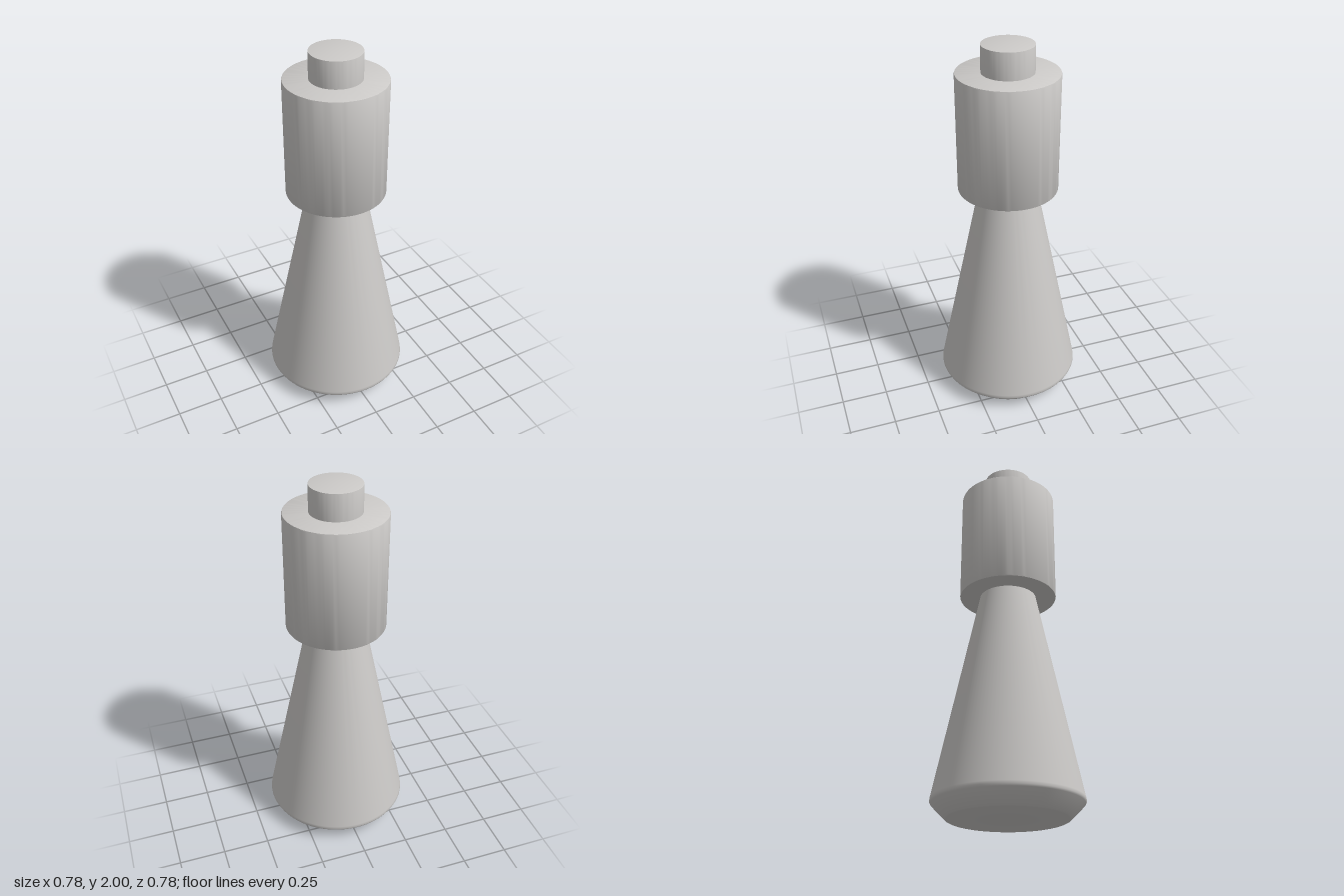
import * as THREE from 'three';
import { toCreasedNormals } from 'three/addons/utils/BufferGeometryUtils.js';

export function createModel() {
  const group = new THREE.Group();
  const paleGrey = new THREE.MeshStandardMaterial({ color: 0xcccac8 });
  paleGrey.name = 'paleGrey';

  // Turned part from a [radius, height] profile, listed bottom to top
  const turned = (name, profile) => {
    const points = profile.map(([r, y]) => new THREE.Vector2(r, y));
    const geometry = toCreasedNormals(new THREE.LatheGeometry(points, 96), 0.6);
    const mesh = new THREE.Mesh(geometry, paleGrey);
    mesh.name = name;
    group.add(mesh);
  };

  // Tapered body with a chamfered foot
  turned('taperedBody', [
    [0, 0], [0.304, 0], [0.314, 0.005], [0.384, 0.075], [0.389, 0.085],
    [0.387, 0.1], [0.153, 1.225],
  ]);

  // Wide collar with slightly softened rims
  turned('collar', [
    [0, 1.222], [0.259, 1.222], [0.263, 1.224], [0.265, 1.228],
    [0.265, 1.852], [0.263, 1.857], [0.258, 1.859], [0, 1.859],
  ]);

  // Small cap on top
  turned('topCap', [
    [0.135, 1.855], [0.135, 1.995], [0.134, 1.999], [0.13, 2], [0, 2],
  ]);

  return group;
}
